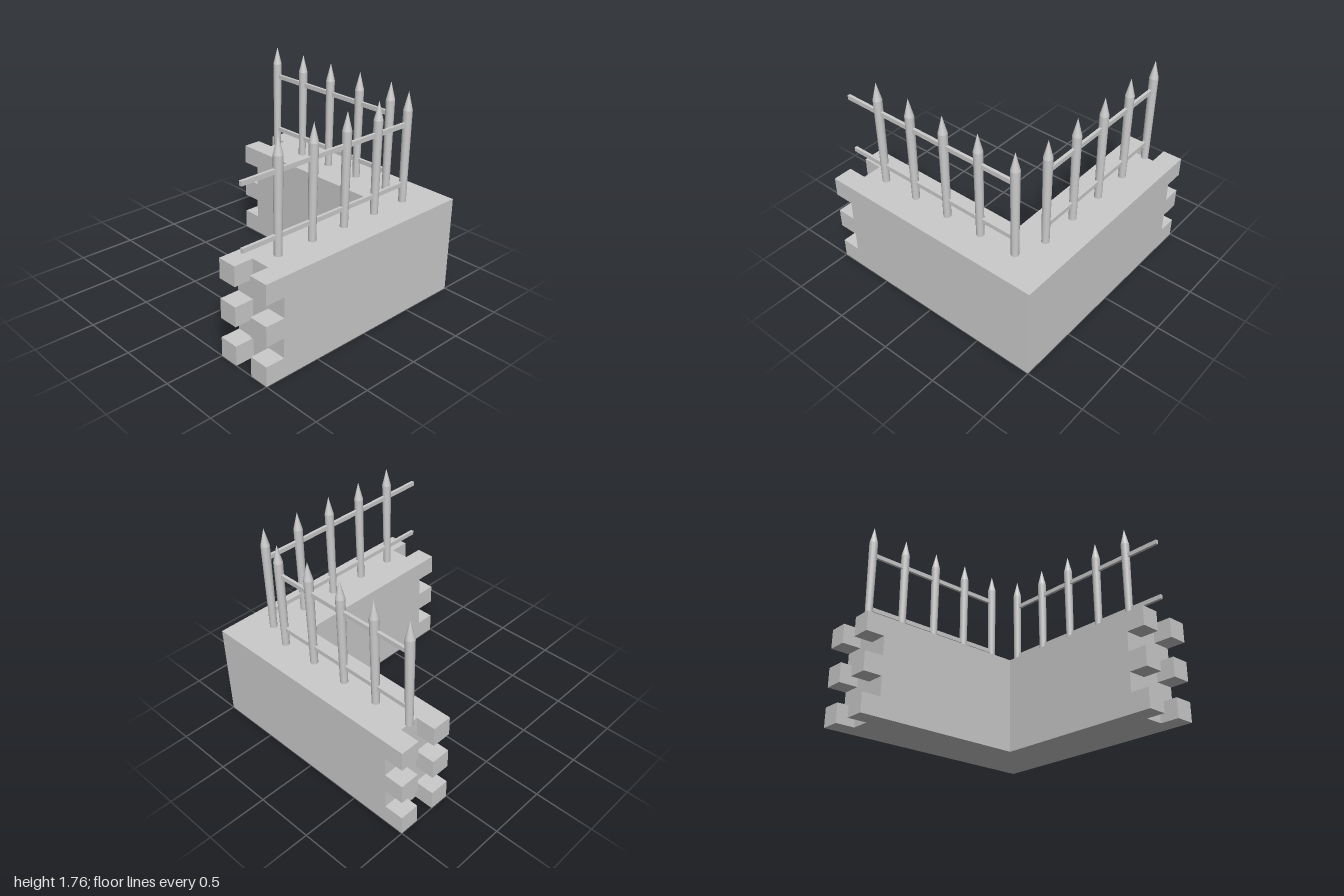
import * as THREE from 'three';

const mat = new THREE.MeshStandardMaterial({ color: 0xcccccc });
const U = 1 / 6;        // brick module
const WALL_H = 5 * U;   // wall height

function add(parent, geometry, name, x = 0, y = 0, z = 0) {
  const mesh = new THREE.Mesh(geometry, mat);
  mesh.name = name;
  mesh.position.set(x, y, z);
  parent.add(mesh);
  return mesh;
}

// L-shaped wall core, extruded upwards
function wallCore() {
  const e = 1 - U;
  const pts = [[-e, -1], [1, -1], [1, e], [0.5, e], [0.5, -0.5], [-e, -0.5]];
  const shape = new THREE.Shape(pts.map(([x, y]) => new THREE.Vector2(x, y)));
  return new THREE.ExtrudeGeometry(shape, { depth: WALL_H, bevelEnabled: false }).rotateX(-Math.PI / 2);
}

// Pointed fence post: slightly flaring shaft with a sharp tip
function post(parent, x, z) {
  const g = new THREE.Group();
  g.name = 'fencePost';
  g.position.set(x, WALL_H, z);
  const shaftH = 0.77, tipH = 0.152;
  add(g, new THREE.CylinderGeometry(0.037, 0.031, shaftH, 16), 'postShaft', 0, shaftH / 2, 0);
  add(g, new THREE.ConeGeometry(0.037, tipH, 16, 1, true), 'postTip', 0, shaftH + tipH / 2, 0);
  parent.add(g);
}

export function createModel() {
  const model = new THREE.Group();
  model.name = 'cornerWallWithFence';
  add(model, wallCore(), 'wallCore');

  // Interlocking teeth at both free ends of the wall
  const tooth = new THREE.BoxGeometry(U, U, U);
  for (let row = 0; row < 3; row++) {
    const y = (2 * row + 0.5) * U;
    for (const across of [0.5 + U / 2, 1 - U / 2]) {
      add(model, tooth, 'leftArmTooth', across, y, -1 + U / 2);
      add(model, tooth, 'frontArmTooth', -1 + U / 2, y, across);
    }
  }

  // Posts along the front arm and the side arm
  for (let i = 0; i < 5; i++) {
    post(model, (i - 2) * 2 * U, 0.75);
    post(model, 0.75, 0.5 - i * 2 * U);
  }

  // Horizontal rails: the front pair runs on to the wall end
  const t = 0.025, h = 0.037;
  const x0 = -1, x1 = 4 * U, z0 = -5 * U, z1 = 0.5;
  for (const y of [0.99, 1.49]) {
    add(model, new THREE.BoxGeometry(x1 - x0, h, t), 'frontRail', (x0 + x1) / 2, y, 0.75);
    add(model, new THREE.BoxGeometry(t, h, z1 - z0), 'sideRail', 0.75, y, (z0 + z1) / 2);
  }
  return model;
}
